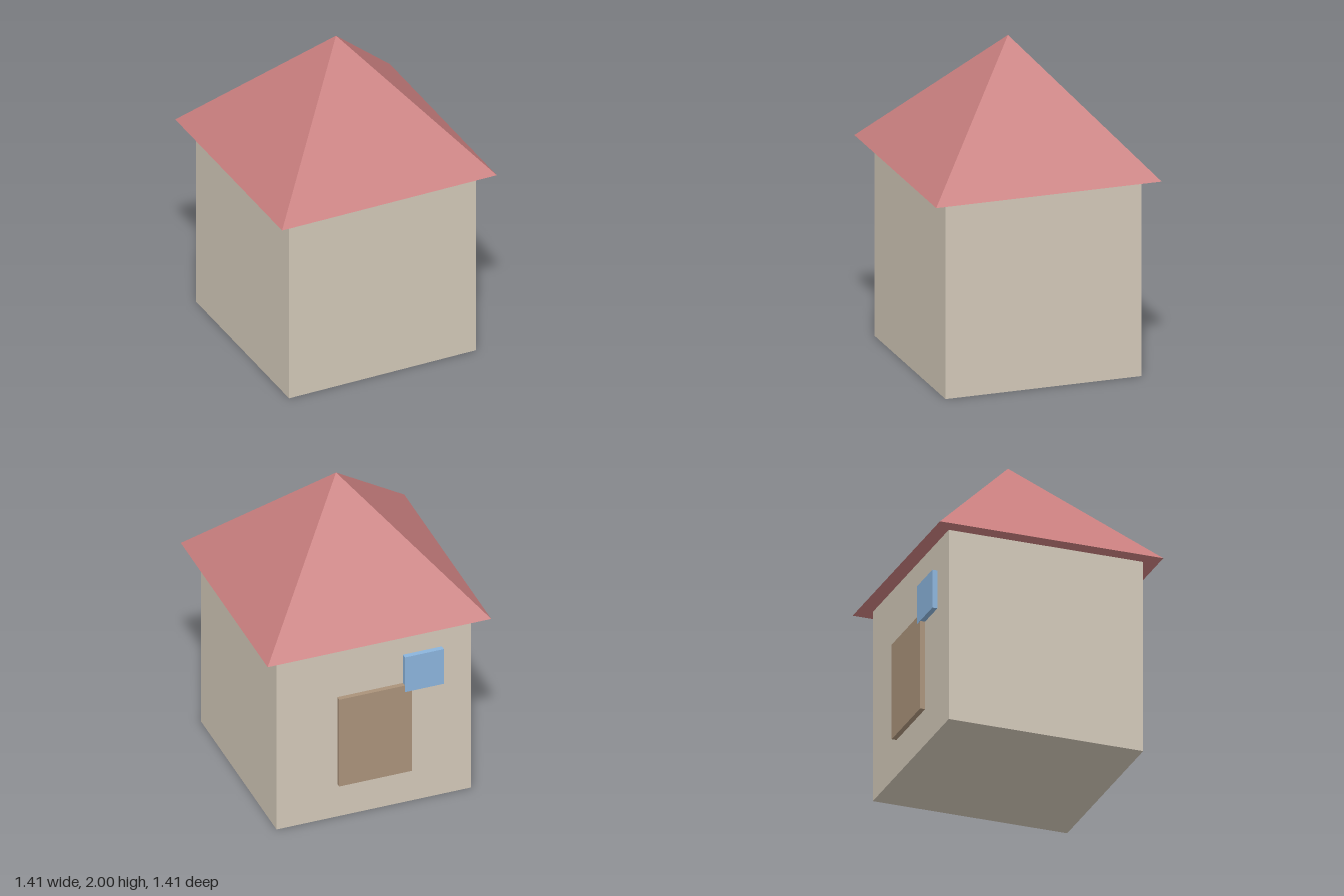
import * as THREE from 'three';

const U = 2 / 6.5; // one design unit

function material(name, color) {
  const m = new THREE.MeshStandardMaterial({ color });
  m.name = name;
  return m;
}

export function createModel() {
  const house = new THREE.Group();
  house.name = 'house';

  const wall = material('beige wall', 0xd2c8b8);
  const roofRed = material('dusty red roof', 0xc87e7e);
  const wood = material('brown door', 0xaa927a);
  const glass = material('blue window', 0x8bb4dc);

  const add = (name, geometry, mat, x, y, z) => {
    const mesh = new THREE.Mesh(geometry, mat);
    mesh.name = name;
    mesh.position.set(x * U, y * U, z * U);
    house.add(mesh);
    return mesh;
  };
  const box = (w, h, d) => new THREE.BoxGeometry(w * U, h * U, d * U);

  // Cubic body
  add('walls', box(4, 4, 4), wall, 0, 2, 0);

  // Four-sided roof with overhanging eaves, split per face for crisp ridges
  const pyramid = new THREE.ConeGeometry(3.25 * U, 2.5 * U, 4).rotateY(Math.PI / 4).toNonIndexed();
  pyramid.computeVertexNormals();
  add('roof', pyramid, roofRed, 0, 5.25, 0);

  // Door and window on the back wall; the window just overlaps the door corner
  add('door', box(1.5, 2, 0.2), wood, 0, 1.75, -2);
  add('window', box(0.8, 0.8, 0.206), glass, -1, 3, -2);

  return house;
}
